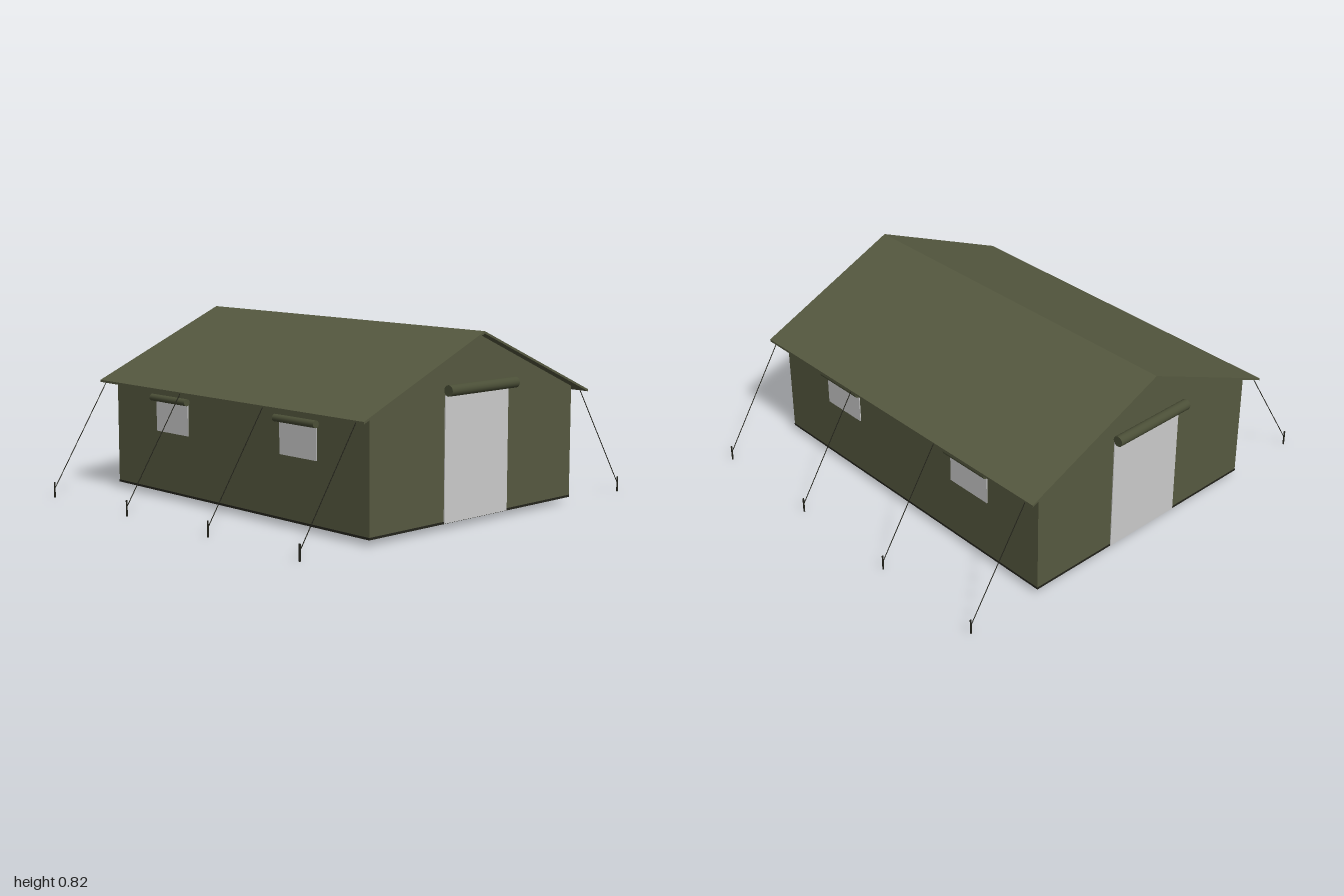
import * as THREE from 'three';

const mat = (color) => new THREE.MeshStandardMaterial({ color });

export function createModel() {
  const tent = new THREE.Group();
  tent.name = 'tent';
  const canvas = mat(0x565940);
  const flap = mat(0x4b4f37);
  const grey = mat(0xcccccc);
  const dark = mat(0x24241c);

  const add = (name, geometry, material, x = 0, y = 0, z = 0, parent = tent) => {
    const mesh = new THREE.Mesh(geometry, material);
    mesh.name = name;
    mesh.position.set(x, y, z);
    parent.add(mesh);
    return mesh;
  };

  // Extrudes an outline in the xy plane along z, centred on z = 0
  const prism = (points, depth) => {
    const shape = new THREE.Shape(points.map(([x, y]) => new THREE.Vector2(x, y)));
    return new THREE.ExtrudeGeometry(shape, { depth, bevelEnabled: false }).translate(0, 0, -depth / 2);
  };

  // Thin rod between two points
  const rod = (name, a, b, radius, material, sides = 6) => {
    const dir = b.clone().sub(a);
    const mid = a.clone().add(b).multiplyScalar(0.5);
    const mesh = add(name, new THREE.CylinderGeometry(radius, radius, dir.length(), sides), material, mid.x, mid.y, mid.z);
    mesh.quaternion.setFromUnitVectors(new THREE.Vector3(0, 1, 0), dir.normalize());
    return mesh;
  };

  // Walls with gable ends
  add('walls', prism([[-0.63, 0.03], [0.63, 0.03], [0.63, 0.53], [0, 0.808], [-0.63, 0.53]], 1.69), canvas);
  add('groundSheet', new THREE.BoxGeometry(1.262, 0.01, 1.692), dark, 0, 0.03, 0);

  // Pitched roof sheet with overhanging eaves
  add('roof', prism([
    [-0.7, 0.513], [-0.7, 0.503], [0, 0.81], [0.7, 0.503], [0.7, 0.513], [0, 0.82],
  ], 1.77), canvas);

  // Rolled-up flap lying along x, held by two straps
  const rolledFlap = (name, length, radius, parent, y, z) => {
    const roll = new THREE.Group();
    roll.name = name;
    roll.position.set(0, y, z);
    parent.add(roll);
    const tube = add('roll', new THREE.CylinderGeometry(radius, radius, length, 16), flap, 0, 0, 0, roll);
    tube.rotation.z = Math.PI / 2;
    return roll;
  };

  // An opening facing +z of its own group: panel with its flap rolled up above
  const opening = (name, width, bottom, top, rollLength, radius, gap) => {
    const group = new THREE.Group();
    group.name = name;
    add('panel', new THREE.BoxGeometry(width, top - bottom, 0.008), grey, 0, (top + bottom) / 2, 0, group);
    rolledFlap('rolledFlap', rollLength, radius, group, top + radius - 0.001, gap);
    tent.add(group);
    return group;
  };

  // Doors in both gable ends
  for (const s of [1, -1]) {
    const door = opening(s > 0 ? 'frontDoor' : 'backDoor', 0.395, 0.027, 0.565, 0.42, 0.024, 0.032);
    door.position.z = s * 0.845;
    door.rotation.y = s > 0 ? 0 : Math.PI;
  }

  // Two windows, four guy ropes and their pegs along each side
  for (const s of [1, -1]) {
    const side = s > 0 ? 'left' : 'right';
    for (const z of [0.425, -0.425]) {
      const win = opening(side + 'Window', 0.23, 0.305, 0.445, 0.255, 0.016, 0.018);
      win.position.set(s * 0.63, 0, z);
      win.rotation.y = s * Math.PI / 2;
    }
    for (const z of [0.84, 0.28, -0.28, -0.84]) {
      rod(side + 'GuyRope', new THREE.Vector3(s * 0.698, 0.508, z), new THREE.Vector3(s * 0.996, 0.04, z), 0.002, dark, 5);
      rod(side + 'Peg', new THREE.Vector3(s * 0.996, 0, z), new THREE.Vector3(s * 0.996, 0.07, z), 0.004, dark, 8);
    }
  }

  return tent;
}
